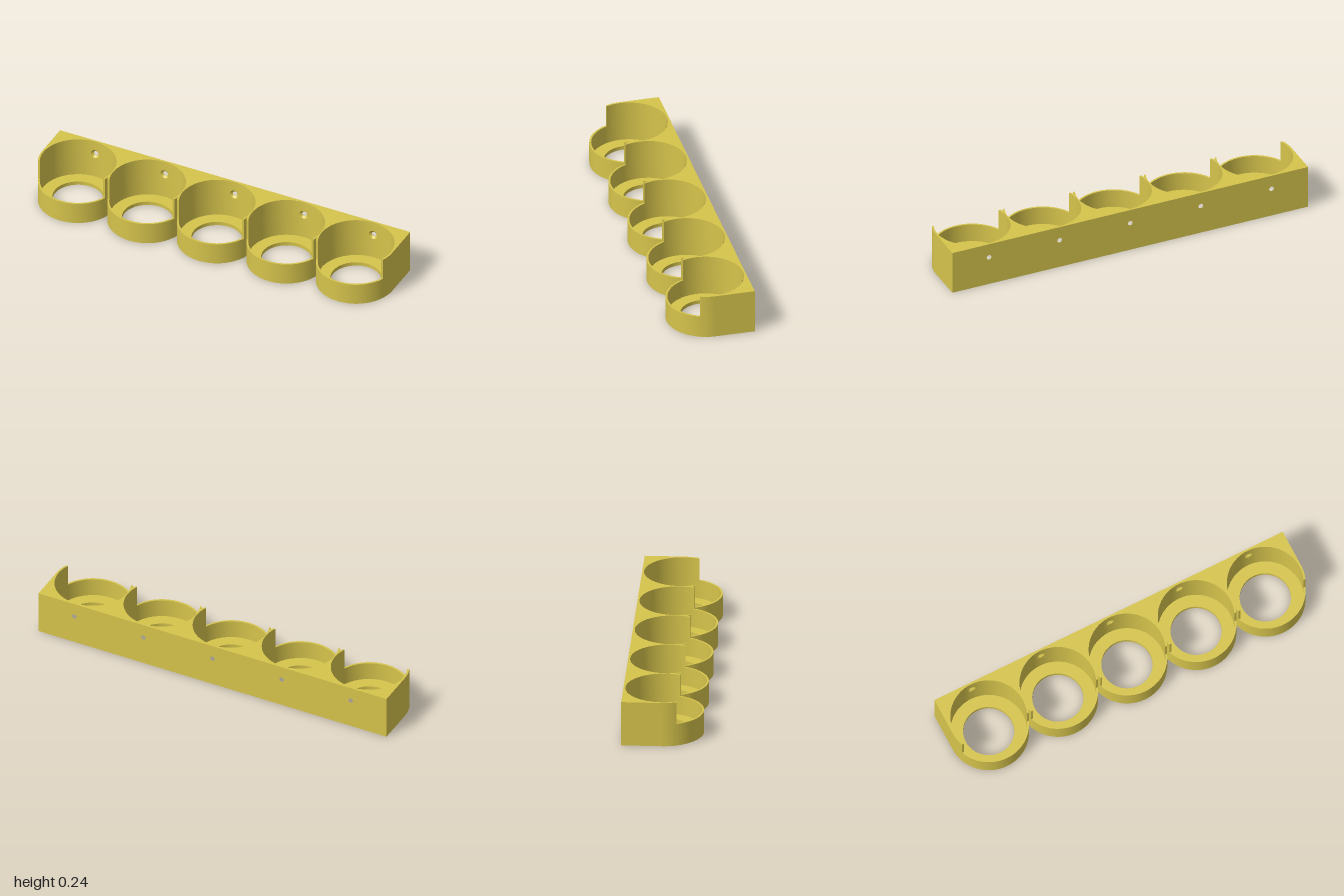
import * as THREE from 'three';
import { mergeGeometries, toCreasedNormals } from 'three/addons/utils/BufferGeometryUtils.js';

// Overall sizes
const COUNT = 5, PITCH = 0.397, R = 0.206, POCKET = 0.196, HOLE = 0.131;
const FLOOR = 0.02, LOW = 0.119, TOP = 0.238, BACK = -0.206, STEP = 0.075;
const SCREW_Y = 0.16, SCREW_R = 0.013, SINK_R = 0.024, PATCH = 0.03;
const PI = Math.PI;

// Angles are measured from the back (-z) round through +x
const STEP_OUT = Math.acos(-STEP / R), STEP_IN = Math.acos(-STEP / POCKET);
const CUSP = PI - Math.asin(PITCH / 2 / R);
const centres = Array.from({ length: COUNT }, (_, i) => (i - (COUNT - 1) / 2) * PITCH);

// Plan points [x, z] along an arc
function arc(cx, r, a0, a1) {
  const n = Math.max(2, Math.ceil(Math.abs(a1 - a0) / (PI / 48)));
  return Array.from({ length: n + 1 }, (_, i) => {
    const a = a0 + (a1 - a0) * i / n;
    return [cx + r * Math.sin(a), -r * Math.cos(a)];
  });
}

function fromTriangles(pos) {
  const g = new THREE.BufferGeometry();
  g.setAttribute('position', new THREE.Float32BufferAttribute(pos, 3));
  return g;
}

// Vertical wall along a plan path
function wall(path, y0, y1) {
  const pos = [];
  for (let i = 0; i < path.length - 1; i++) {
    const [ax, az] = path[i], [bx, bz] = path[i + 1];
    pos.push(ax, y0, az, ax, y1, az, bx, y1, bz, ax, y0, az, bx, y1, bz, bx, y0, bz);
  }
  return fromTriangles(pos);
}

function plain(g) {
  const out = g.toNonIndexed();
  out.deleteAttribute('uv');
  out.deleteAttribute('normal');
  return out;
}

// Horizontal face from a plan outline, with holes
function cap(path, holes, y, up) {
  const s = up ? -1 : 1;
  const flat = (p) => p.map(([x, z]) => new THREE.Vector2(x, s * z));
  const shape = new THREE.Shape(flat(path));
  shape.holes = holes.map((h) => new THREE.Path(flat(h)));
  return plain(new THREE.ShapeGeometry(shape).rotateX(s * PI / 2).translate(0, y, 0));
}

// Curved patch of pocket wall with a countersunk screw hole
function screwPatch(cx) {
  const n = 32, pos = [];
  const curved = (x, y) => [cx + x, SCREW_Y + y, -Math.sqrt(POCKET ** 2 - x * x)];
  const rings = [
    (c, s) => { const k = PATCH / Math.max(Math.abs(c), Math.abs(s)); return curved(c * k, s * k); },
    (c, s) => curved(c * SINK_R, s * SINK_R),
    (c, s) => [cx + c * SCREW_R, SCREW_Y + s * SCREW_R, BACK],
  ];
  const point = (ring, i) => ring(Math.cos(i * 2 * PI / n), Math.sin(i * 2 * PI / n));
  for (let k = 0; k < rings.length - 1; k++) {
    for (let i = 0; i < n; i++) {
      const a = point(rings[k], i), b = point(rings[k], i + 1);
      const c = point(rings[k + 1], i + 1), d = point(rings[k + 1], i);
      pos.push(...a, ...b, ...c, ...a, ...c, ...d);
    }
  }
  return fromTriangles(pos);
}

export function createModel() {
  const group = new THREE.Group();
  const material = new THREE.MeshStandardMaterial({ color: 0xd6c44c });
  const add = (name, parts) => {
    const mesh = new THREE.Mesh(toCreasedNormals(mergeGeometries(parts), 0.5), material);
    mesh.name = name;
    group.add(mesh);
  };

  // Plan outlines: scalloped lower body, and upper body cut open at the step
  const lower = [[1, BACK]], upper = [[1, BACK]], upperWalls = [];
  let run = [[1, BACK]];
  for (let i = COUNT - 1; i >= 0; i--) {
    const cx = centres[i];
    const start = i === COUNT - 1 ? PI / 2 : CUSP;
    const end = i === 0 ? 3 * PI / 2 : 2 * PI - CUSP;
    lower.push(...arc(cx, R, start, end));
    const inner = arc(cx, POCKET, STEP_IN, -STEP_IN);
    const before = arc(cx, R, start, STEP_OUT);
    const after = arc(cx, R, 2 * PI - STEP_OUT, end);
    upper.push(...before, ...inner, ...after);
    run.push(...before, inner[0]);
    upperWalls.push(wall(run, LOW, TOP));
    run = [inner[inner.length - 1], ...after];
  }
  lower.push([-1, BACK]);
  upper.push([-1, BACK]);
  run.push([-1, BACK]);
  upperWalls.push(wall(run, LOW, TOP));

  const holeRings = centres.map((cx) => arc(cx, HOLE, 2 * PI, 0));
  const open = (ring) => ring.slice(0, -1);

  add('outerWall', [wall(lower, 0, LOW), ...upperWalls]);
  add('underside', [cap(lower, holeRings.map(open), 0, false)]);
  add('topRim', [cap(upper, [], TOP, true)]);

  // Flat back with screw holes
  const back = new THREE.Shape([[-1, 0], [1, 0], [1, TOP], [-1, TOP]].map((p) => new THREE.Vector2(...p)));
  for (const cx of centres) {
    back.holes.push(new THREE.Path().absarc(cx, SCREW_Y, SCREW_R, 0, 2 * PI, true));
  }
  add('backPlate', [plain(new THREE.ShapeGeometry(back, 16).rotateY(PI).translate(0, 0, BACK))]);

  // Each cup: floor ring, through hole, pocket wall, front lip and screw hole
  const gap = Math.asin(PATCH / POCKET);
  centres.forEach((cx, i) => {
    const ring = arc(cx, POCKET, 2 * PI, 0);
    add('cupFloor' + (i + 1), [
      cap(open(ring), [open(holeRings[i])], FLOOR, true),
      wall(holeRings[i], 0, FLOOR),
    ]);
    add('pocketWall' + (i + 1), [
      wall(ring, FLOOR, LOW),
      wall(arc(cx, POCKET, STEP_IN, gap), LOW, TOP),
      wall(arc(cx, POCKET, -gap, -STEP_IN), LOW, TOP),
      wall(arc(cx, POCKET, gap, -gap), LOW, SCREW_Y - PATCH),
      wall(arc(cx, POCKET, gap, -gap), SCREW_Y + PATCH, TOP),
      screwPatch(cx),
    ]);
    add('frontLip' + (i + 1), [cap([
      ...arc(cx, R, STEP_OUT, 2 * PI - STEP_OUT),
      ...arc(cx, POCKET, 2 * PI - STEP_IN, STEP_IN),
    ], [], LOW, true)]);
  });
  return group;
}
